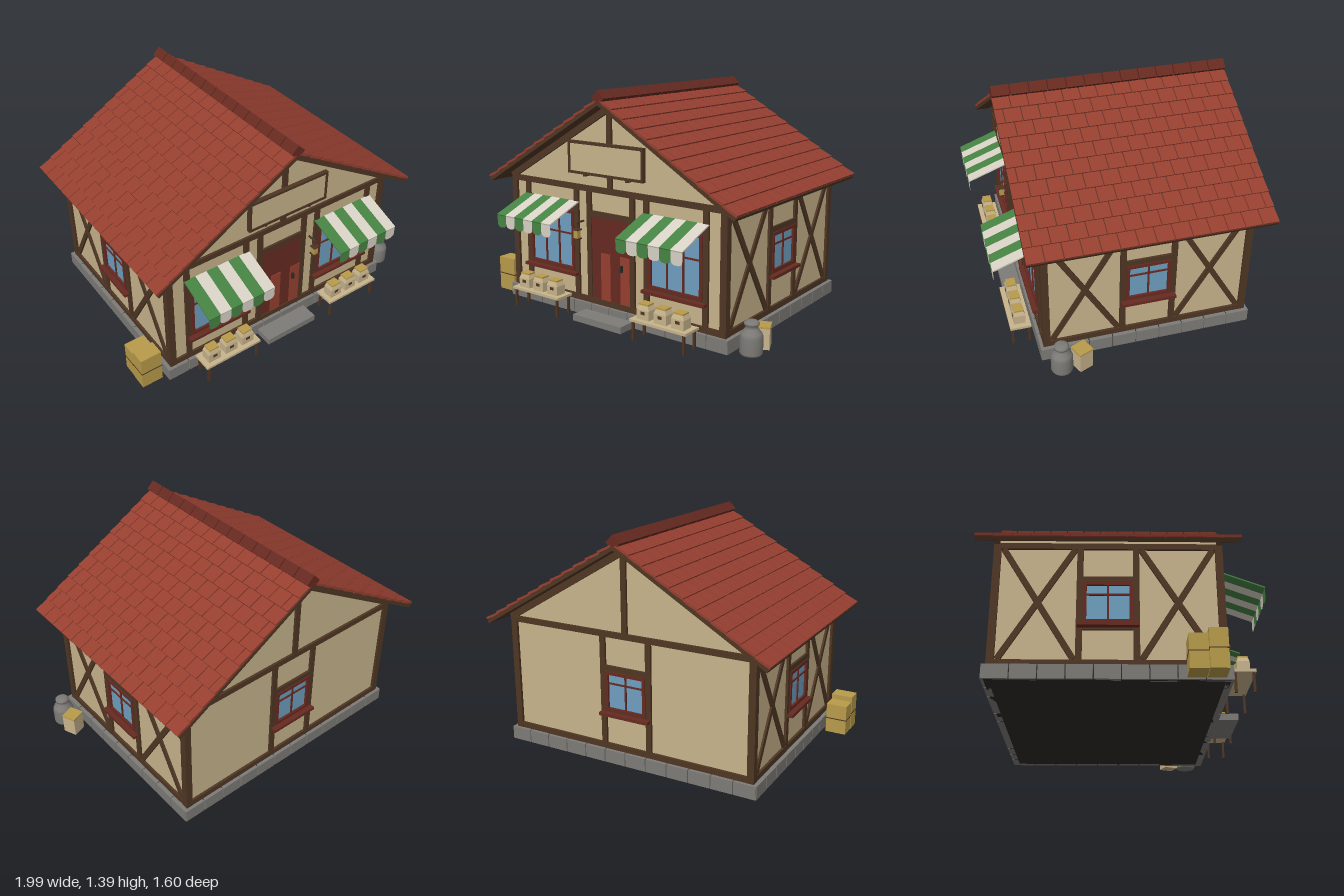
import * as THREE from 'three';
import { mergeGeometries } from 'three/addons/utils/BufferGeometryUtils.js';

const mat = (name, color, side = THREE.FrontSide) => {
  const m = new THREE.MeshStandardMaterial({ color, side });
  m.name = name;
  return m;
};
const plaster = mat('plaster', 0xc8b48c);
const timber = mat('timber', 0x4f3624);
const tileRed = mat('tileRed', 0x963f30);
const darkRed = mat('darkRed', 0x662a20);
const stone = mat('stone', 0x7d7b77);
const glass = mat('glass', 0x6f9fc0);
const green = mat('green', 0x468343);
const canvas = mat('canvas', 0xd8d2c6, THREE.DoubleSide);
const gold = mat('gold', 0xb89b4a);
const mortar = mat('mortar', 0x2e2a27);
green.side = THREE.DoubleSide;

const CZ = -0.075; // middle of the house in z
const SLOPE = Math.atan(0.589), SIN = Math.sin(SLOPE), COS = Math.cos(SLOPE);
const APEX = 1.305, RAKE = 1.058, DEPTH = 1.45;

function group(parent, name, x = 0, y = 0, z = 0, ry = 0) {
  const g = new THREE.Group();
  g.name = name;
  g.position.set(x, y, z);
  g.rotation.y = ry;
  parent.add(g);
  return g;
}
function add(parent, name, geo, m) {
  const mesh = new THREE.Mesh(geo, m);
  mesh.name = name;
  parent.add(mesh);
  return mesh;
}
// box given by its minimum and maximum corners
function box(parent, name, m, x0, x1, y0, y1, z0, z1) {
  const b = add(parent, name, new THREE.BoxGeometry(x1 - x0, y1 - y0, z1 - z0), m);
  b.position.set((x0 + x1) / 2, (y0 + y1) / 2, (z0 + z1) / 2);
  return b;
}
// straight beam between two points in a wall plane
function beam(parent, name, x0, y0, x1, y1, w = 0.035, d = 0.03, m = timber) {
  const b = add(parent, name, new THREE.BoxGeometry(Math.hypot(x1 - x0, y1 - y0), w, d), m);
  b.position.set((x0 + x1) / 2, (y0 + y1) / 2, 0);
  b.rotation.z = Math.atan2(y1 - y0, x1 - x0);
  return b;
}

// framed window on a wall plane, with mullions and a projecting sill
function makeWindow(wall, u, w, y0, y1, panes, railY) {
  const g = group(wall, 'window', u);
  const h = w / 2, t = 0.02;
  box(g, 'glass', glass, -h, h, y0, y1, 0, 0.006);
  for (const s of [-1, 1]) box(g, 'frameSide', darkRed, s * (h - t / 2) - t / 2, s * (h - t / 2) + t / 2, y0, y1, 0, 0.02);
  for (const y of [y0, y1 - t]) box(g, 'frameRail', darkRed, -h + t, h - t, y, y + t, 0, 0.02);
  for (let i = 1; i < panes; i++) {
    const x = -h + t + (w - 2 * t) * i / panes;
    box(g, 'mullion', darkRed, x - 0.005, x + 0.005, y0, y1, 0, 0.014);
  }
  box(g, 'crossBar', darkRed, -h, h, railY - 0.005, railY + 0.005, 0, 0.013);
  box(g, 'sill', darkRed, -h - 0.03, h + 0.03, y0 - 0.026, y0 - 0.007, 0, 0.048);
}

// horizontal beams at foot and top of a wall
function plates(wall, half) {
  beam(wall, 'sillBeam', -half, 0.0975, half, 0.0975);
  beam(wall, 'topBeam', -half, 0.7925, half, 0.7925);
}
function posts(wall, list, top = 0.78) {
  for (const u of list) beam(wall, 'post', u, 0.1, u, top, 0.035, 0.029);
}
function gableTimbers(wall) {
  beam(wall, 'kingPost', 0, 0.8, 0, 1.275, 0.035, 0.029);
  for (const s of [-1, 1]) beam(wall, 'wallRafter', 0, 1.282, s * 0.815, 1.282 - 0.589 * 0.815, 0.04, 0.03);
}
function smallWindowBay(wall) {
  posts(wall, [-0.1525, 0.1525]);
  beam(wall, 'lintel', -0.15, 0.587, 0.15, 0.587, 0.033, 0.028);
  beam(wall, 'lowerRail', -0.15, 0.305, 0.15, 0.305, 0.035, 0.028);
  makeWindow(wall, 0, 0.27, 0.325, 0.57, 2, 0.495);
}

function makeBase(root) {
  const g = group(root, 'foundation', 0, 0, CZ);
  box(g, 'foundationCore', mortar, -0.825, 0.825, 0, 0.077, -0.635, 0.635);
  const geos = [];
  const block = (w, d, x, z) => geos.push(new THREE.BoxGeometry(w, 0.08, d).translate(x, 0.04, z));
  for (const s of [-1, 1]) {
    for (let i = 0; i < 12; i++) block(0.134, 0.04, -0.84 + 0.14 * (i + 0.5), s * 0.63);
    for (let i = 0; i < 9; i++) block(0.04, 0.1385, s * 0.82, -0.65 + 1.3 / 9 * (i + 0.5));
  }
  add(g, 'foundationStones', mergeGeometries(geos), stone);
  box(root, 'doorStep', stone, -0.185, 0.185, 0, 0.04, 0.55, 0.69);
}

function makeRoof(root) {
  const g = group(root, 'roof', 0, 0, CZ);
  const tiles = [], rows = 11, pitch = RAKE / rows, tw = DEPTH / 14;
  for (const s of [-1, 1]) {
    // places a slab at distance t down the slope and n above the underside
    const place = (geo, t, n, z, tilt = 0) => geo.rotateZ(-s * (SLOPE - tilt))
      .translate(s * (t * COS + n * SIN), APEX - t * SIN + n * COS, z);
    add(g, 'roofDeck', place(new THREE.BoxGeometry(RAKE, 0.022, DEPTH - 0.006), RAKE / 2, 0.011, 0), timber);
    for (let r = 0; r < rows; r++) {
      for (let j = 0; j <= 14; j++) {
        const start = -DEPTH / 2 + (j - (r % 2) / 2) * tw;
        const z0 = Math.max(start, -DEPTH / 2), z1 = Math.min(start + tw, DEPTH / 2);
        if (z1 - z0 < 0.01) continue;
        tiles.push(place(new THREE.BoxGeometry(pitch, 0.014, z1 - z0 - 0.006), (r + 0.5) * pitch, 0.03, (z0 + z1) / 2, 0.09));
      }
    }
  }
  add(g, 'roofTiles', mergeGeometries(tiles), tileRed);
  const caps = [], cw = DEPTH / 13;
  for (let i = 0; i < 13; i++)
    caps.push(new THREE.BoxGeometry(0.065, 0.065, cw - 0.006).rotateZ(Math.PI / 4).translate(0, 1.345, -DEPTH / 2 + cw * (i + 0.5)));
  add(g, 'ridgeCaps', mergeGeometries(caps), darkRed);
}

function makeAwning(root, x) {
  const g = group(root, 'awning', x);
  const w = 0.45 / 6, len = Math.hypot(0.25, 0.095), tilt = Math.atan2(0.095, 0.25);
  const flap = new THREE.Shape();
  flap.moveTo(-w / 2, 0).lineTo(-w / 2, -0.05);
  flap.quadraticCurveTo(-w / 2, -0.078, 0, -0.078).quadraticCurveTo(w / 2, -0.078, w / 2, -0.05);
  flap.lineTo(w / 2, 0);
  for (let i = 0; i < 6; i++) {
    const m = i % 2 ? canvas : green, sx = -0.225 + w * (i + 0.5);
    const slab = add(g, 'awningStripe', new THREE.BoxGeometry(w, 0.008, len), m);
    slab.position.set(sx, 0.6525, 0.675);
    slab.rotation.x = tilt;
    const f = add(g, 'awningFlap', new THREE.ShapeGeometry(flap, 6), m);
    f.position.set(sx, 0.605, 0.798);
  }
}

function makeSack(parent, x, y, z, s, ry = 0) {
  const g = group(parent, 'sack', x, y, z, ry);
  g.scale.setScalar(s);
  const body = new THREE.BoxGeometry(0.085, 0.085, 0.07, 1, 3, 1);
  const p = body.attributes.position;
  for (let i = 0; i < p.count; i++) {
    const k = p.getY(i) > 0.03 ? 0.75 : 1; // narrowed neck
    p.setX(i, p.getX(i) * k).setZ(i, p.getZ(i) * k);
  }
  const flat = body.toNonIndexed();
  flat.computeVertexNormals();
  add(g, 'sackBody', flat.translate(0, 0.0425, 0), plaster);
  box(g, 'sackTop', gold, -0.034, 0.034, 0.083, 0.092, -0.028, 0.028);
  box(g, 'sackPatch', timber, -0.014, 0.014, 0.03, 0.048, 0.034, 0.037);
}

function makeTable(root, x) {
  const g = group(root, 'displayTable', x, 0, 0.66);
  box(g, 'tableTop', plaster, -0.195, 0.195, 0.113, 0.128, -0.063, 0.063);
  for (const sx of [-1, 1]) for (const sz of [-1, 1])
    box(g, 'tableLeg', timber, sx * 0.175 - 0.007, sx * 0.175 + 0.007, 0, 0.113, sz * 0.05 - 0.007, sz * 0.05 + 0.007);
  for (const sx of [-0.12, 0, 0.12]) makeSack(g, sx, 0.128, 0, 1);
}

function makeLantern(root, x) {
  const g = group(root, 'lantern', x, 0, 0.6);
  box(g, 'lanternArm', timber, -0.005, 0.005, 0.58, 0.59, -0.06, 0.005);
  box(g, 'lanternHook', timber, -0.003, 0.003, 0.545, 0.585, -0.003, 0.003);
  box(g, 'lanternGlow', gold, -0.015, 0.015, 0.49, 0.54, -0.015, 0.015);
  for (const y of [0.482, 0.538]) box(g, 'lanternCap', timber, -0.02, 0.02, y, y + 0.008, -0.02, 0.02);
}

function makeCrate(root, x, z, w, h, d) {
  const g = group(root, 'crate', x, 0, z);
  box(g, 'crateBody', gold, -w / 2, w / 2, 0, h, -d / 2, d / 2);
  box(g, 'crateBand', timber, -w / 2 - 0.002, w / 2 + 0.002, h * 0.5 - 0.003, h * 0.5 + 0.003, -d / 2 - 0.002, d / 2 + 0.002);
}

export function createModel() {
  const root = new THREE.Group();
  root.name = 'timberShop';
  makeBase(root);

  // plastered body with gable ends
  const s = new THREE.Shape();
  s.moveTo(-0.8, 0.075).lineTo(0.8, 0.075).lineTo(0.8, 0.832).lineTo(0, 1.303).lineTo(-0.8, 0.832);
  const body = add(root, 'walls', new THREE.ExtrudeGeometry(s, { depth: 1.23, bevelEnabled: false }), plaster);
  body.position.z = -0.69;
  for (const x of [-0.795, 0.795]) for (const z of [0.535, -0.685])
    box(root, 'cornerPost', timber, x - 0.021, x + 0.021, 0.08, 0.81, z - 0.021, z + 0.021);

  // front wall: door, shop windows, sign
  const front = group(root, 'frontWall', 0, 0, 0.54);
  plates(front, 0.8);
  gableTimbers(front);
  posts(front, [-0.6775, -0.2675, -0.165, 0.165, 0.2675, 0.6775]);
  beam(front, 'doorLintel', -0.16, 0.643, 0.16, 0.643, 0.035, 0.028);
  box(front, 'door', darkRed, -0.15, 0.15, 0.115, 0.626, 0, 0.008);
  for (const x of [-0.075, 0.075]) box(front, 'doorPanel', tileRed, x, x + 0.073, 0.117, 0.41, 0.006, 0.013);
  box(front, 'doorHandle', mortar, 0.083, 0.097, 0.32, 0.36, 0.01, 0.03);
  for (const x of [-0.4725, 0.4725]) {
    beam(front, 'windowLintel', x - 0.2, 0.657, x + 0.2, 0.657, 0.035, 0.028);
    beam(front, 'windowRail', x - 0.2, 0.245, x + 0.2, 0.245, 0.03, 0.028);
    makeWindow(front, x, 0.375, 0.262, 0.64, 3, 0.49);
    makeAwning(root, x);
    makeTable(root, x);
  }
  for (const x of [-0.22, 0.22]) makeLantern(root, x);
  const sign = group(root, 'signBoard', 0, 0, 0.585);
  box(sign, 'signPanel', plaster, -0.275, 0.275, 0.89, 1.075, -0.008, 0.008);
  for (const y of [0.8925, 1.0725]) beam(sign, 'signRail', -0.283, y, 0.283, y, 0.016, 0.026);
  for (const x of [-0.275, 0.275]) beam(sign, 'signStile', x, 0.885, x, 1.08, 0.016, 0.025);
  for (const x of [-0.16, 0.16]) box(sign, 'signBracket', timber, x - 0.008, x + 0.008, 0.872, 0.89, -0.045, 0.008);

  // back wall
  const back = group(root, 'backWall', 0, 0, -0.69, Math.PI);
  plates(back, 0.8);
  gableTimbers(back);
  smallWindowBay(back);

  // side walls with crossed braces
  for (const side of [-1, 1]) {
    const wall = group(root, side > 0 ? 'leftWall' : 'rightWall', side * 0.8, 0, CZ, side * Math.PI / 2);
    plates(wall, 0.61);
    smallWindowBay(wall);
    for (const u of [-1, 1]) {
      beam(wall, 'brace', u * 0.18, 0.12, u * 0.575, 0.775, 0.033, 0.026);
      beam(wall, 'brace', u * 0.18, 0.775, u * 0.575, 0.12, 0.033, 0.024);
    }
  }
  makeRoof(root);

  // goods beside the house
  const can = [[0, 0], [0.06, 0], [0.065, 0.01], [0.065, 0.1], [0.058, 0.122], [0.036, 0.148], [0.034, 0.165], [0.043, 0.168], [0.043, 0.18], [0.03, 0.19], [0, 0.19]];
  const churn = add(root, 'milkCan', new THREE.LatheGeometry(can.map(([r, y]) => new THREE.Vector2(r, y)), 20), stone);
  churn.position.set(0.93, 0, 0.475);
  const bale = group(root, 'sideCrate', 0.93, 0, 0.355, 0.39);
  box(bale, 'sideCrateBody', plaster, -0.045, 0.045, 0, 0.125, -0.045, 0.045);
  box(bale, 'sideCrateLid', gold, -0.047, 0.047, 0.122, 0.132, -0.047, 0.047);
  makeCrate(root, -0.93, 0.482, 0.135, 0.22, 0.098);
  makeCrate(root, -0.93, 0.38, 0.13, 0.19, 0.1);
  return root;
}
